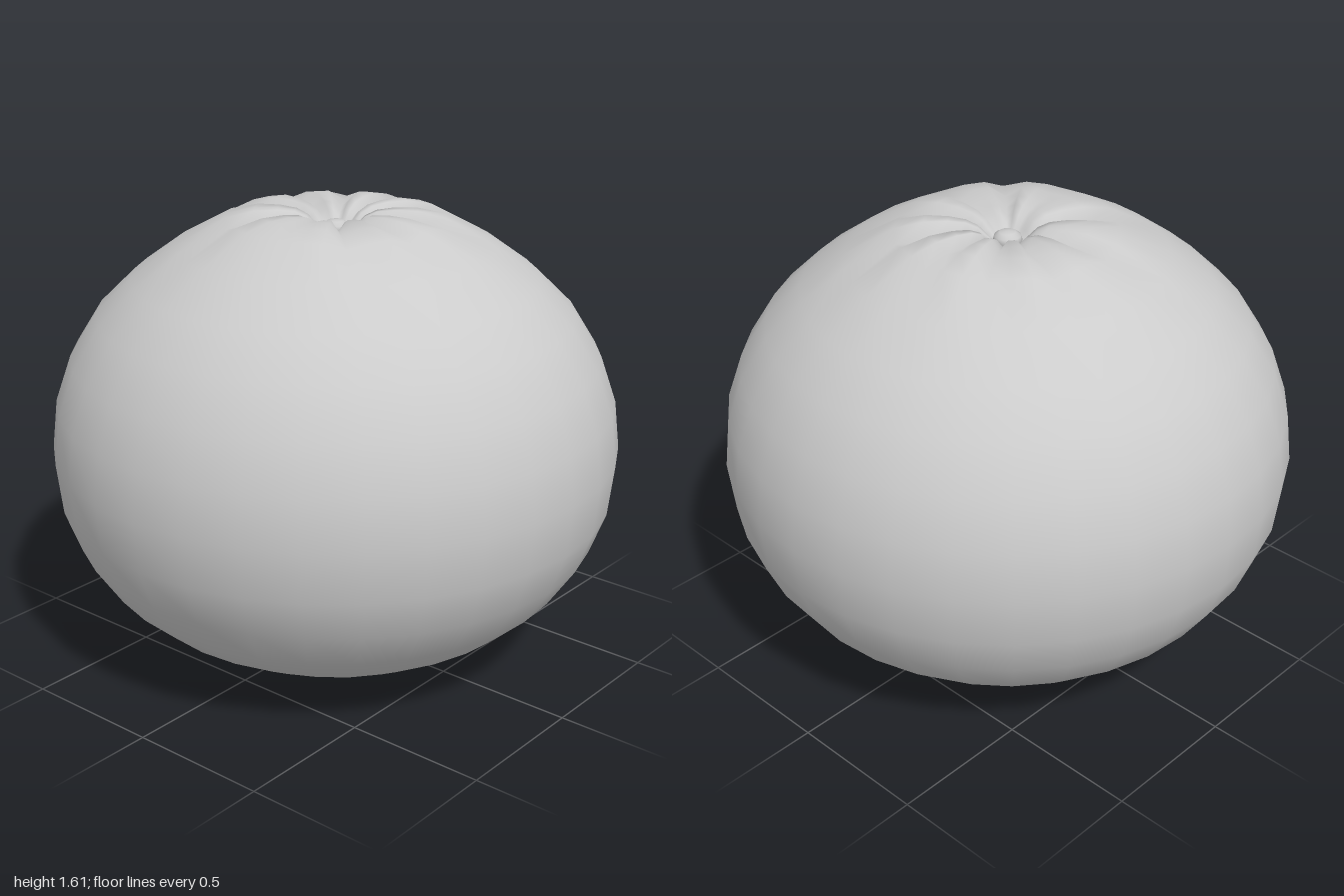
import * as THREE from 'three';
import { mergeVertices } from 'three/addons/utils/BufferGeometryUtils.js';

const SEGMENTS = 32;

// Smooth surface of revolution with welded seam and poles; deform(p) may move each vertex
function turned(profile, segments, deform) {
  const lathe = new THREE.LatheGeometry(profile.map(([r, y]) => new THREE.Vector2(r, y)), segments);
  lathe.deleteAttribute('uv');
  lathe.deleteAttribute('normal');
  const geometry = mergeVertices(lathe, 1e-4);
  const pos = geometry.attributes.position;
  const p = new THREE.Vector3();
  for (let i = 0; i < pos.count; i++) {
    p.fromBufferAttribute(pos, i);
    if (deform) deform(p);
    pos.setXYZ(i, p.x, p.y, p.z);
  }
  geometry.computeVertexNormals();
  return geometry;
}

// Strength of the radial creases at each lathe segment (0 faces the front, 8 the left)
const creases = { 1: 0.15, 4: 0.8, 7: 0.6, 10: 0.75, 13: 1, 16: 0.5, 19: 0.7, 22: 0.8, 25: 0.9, 29: 0.8 };

// Creases fade in from the centre and out towards the shoulder
const fade = (r) => THREE.MathUtils.smoothstep(r, 0.03, 0.15) * (1 - THREE.MathUtils.smoothstep(r, 0.18, 0.56));

function pucker(p) {
  const r = Math.hypot(p.x, p.z);
  const turn = Math.atan2(p.x, p.z) / (2 * Math.PI);
  const segment = (Math.round(turn * SEGMENTS) + SEGMENTS) % SEGMENTS;
  const depth = (creases[segment] ?? 0) * fade(r);
  if (p.y > 0.8) p.y -= 0.055 * depth;
  else p.y += 0.02 * depth;
}

export function createModel() {
  const group = new THREE.Group();
  group.name = 'citrusFruit';
  const material = new THREE.MeshStandardMaterial({ color: 0xcccccc });

  // Squashed round body with a shallow base hollow and a puckered crown
  const bodyProfile = [
    [0, 0.025], [0.05, 0.018], [0.11, 0.004], [0.2, 0.005], [0.29, 0.025], [0.38, 0.05],
    [0.555, 0.11], [0.707, 0.2], [0.83, 0.31], [0.924, 0.45], [0.98, 0.6], [1, 0.78],
    [0.98, 0.95], [0.924, 1.11], [0.83, 1.26], [0.707, 1.38], [0.555, 1.49],
    [0.38, 1.585], [0.28, 1.608], [0.2, 1.61], [0.14, 1.603], [0.1, 1.585],
    [0.07, 1.555], [0.045, 1.53], [0, 1.525],
  ];
  const body = new THREE.Mesh(turned(bodyProfile, SEGMENTS, pucker), material);
  body.name = 'body';
  group.add(body);

  // Small rounded button where the stem was, sunk in the crown
  const buttonProfile = [[0.04, 1.52], [0.05, 1.54], [0.046, 1.558], [0.028, 1.57], [0, 1.573]];
  const button = new THREE.Mesh(turned(buttonProfile, 16), material);
  button.name = 'stemButton';
  group.add(button);

  return group;
}
